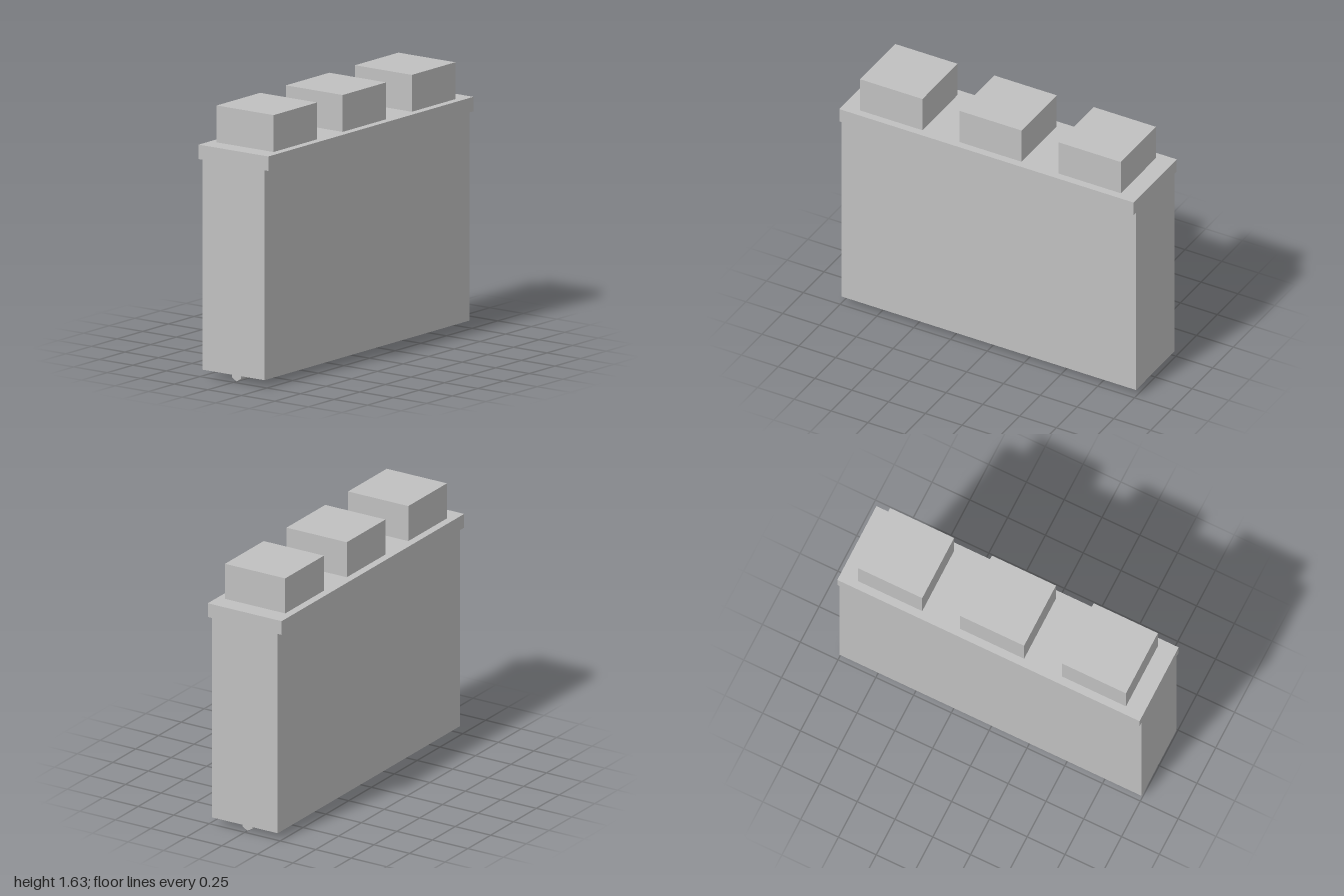
import * as THREE from 'three';

export function createModel() {
  const group = new THREE.Group();
  const stone = new THREE.MeshStandardMaterial({ color: 0xc0c0c0 });
  stone.name = 'light grey stone';

  const add = (name, geometry, x, y) => {
    const mesh = new THREE.Mesh(geometry, stone);
    mesh.name = name;
    mesh.position.set(x, y, 0);
    group.add(mesh);
    return mesh;
  };
  // Box spanning y0..y1, centred on z
  const block = (name, width, y0, y1, depth, x = 0) =>
    add(name, new THREE.BoxGeometry(width, y1 - y0, depth), x, (y0 + y1) / 2);

  // Wall slab and its overhanging ledge
  block('wall', 2, 0.045, 1.32, 0.464);
  block('ledge', 2, 1.32, 1.408, 0.52);

  // Three square merlons
  for (const x of [-0.674, 0, 0.674]) block('merlon', 0.424, 1.408, 1.632, 0.424, x);

  // Six-sided peg rod under the wall, one corner pointing down
  const rod = new THREE.CylinderGeometry(0.04, 0.04, 1.94, 6);
  rod.rotateY(Math.PI / 2).rotateZ(Math.PI / 2);
  add('bottomRod', rod, 0, 0.04);

  return group;
}
